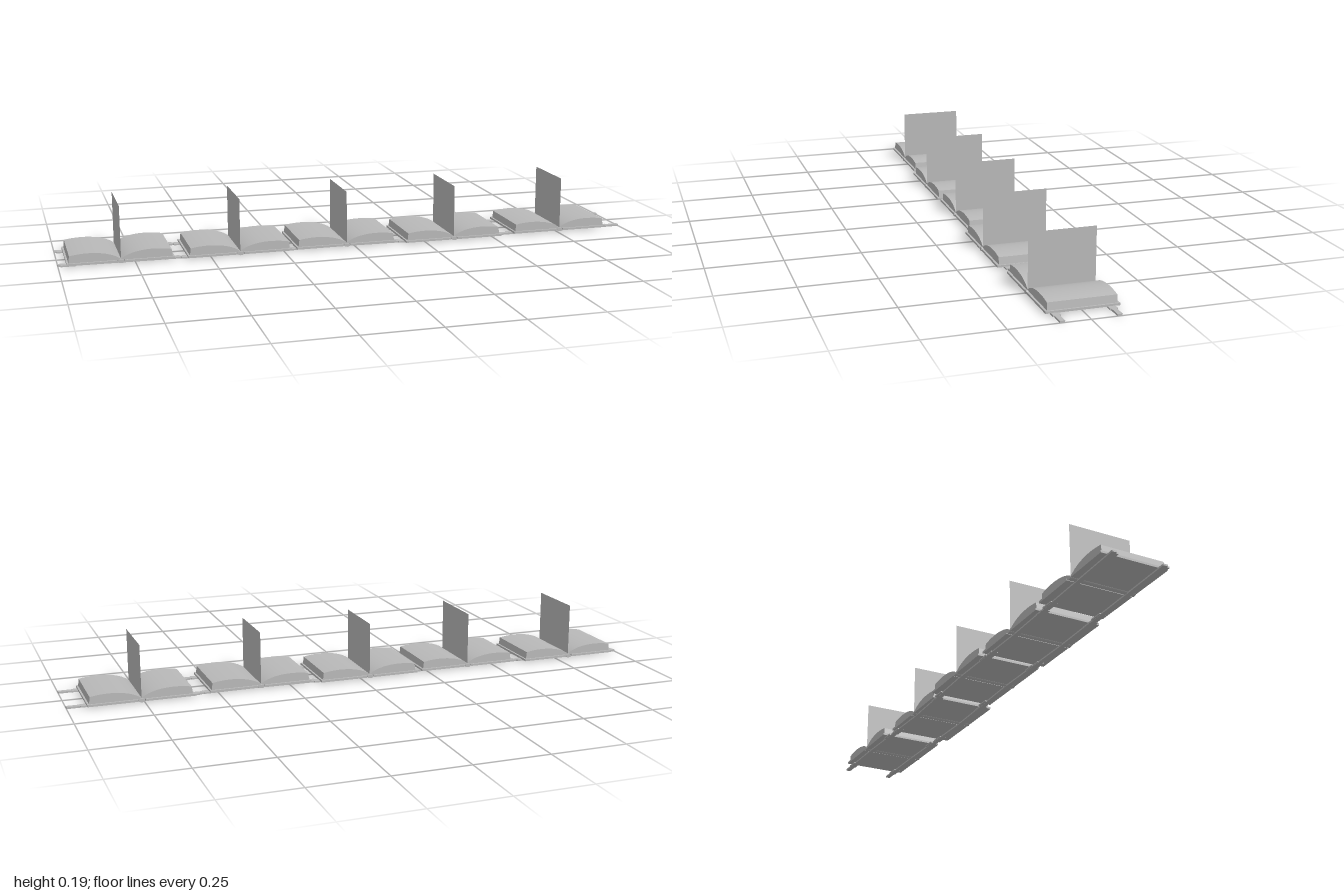
import * as THREE from 'three';
import { toCreasedNormals } from 'three/addons/utils/BufferGeometryUtils.js';

const grey = new THREE.MeshStandardMaterial({ color: 0xb8b8b8, side: THREE.DoubleSide });
grey.name = 'grey';

// Book centres along the row: x, z
const BOOKS = [[-0.797, -0.013], [-0.402, 0], [-0.03, -0.006], [0.353, 0.013], [0.76, 0]];

function add(parent, name, geometry, x = 0, y = 0, z = 0) {
  const mesh = new THREE.Mesh(geometry, grey);
  mesh.name = name;
  mesh.position.set(x, y, z);
  parent.add(mesh);
  return mesh;
}

// Half of the open page block: bulging top that dips into the gutter
function pageBlock(side) {
  const s = new THREE.Shape();
  s.moveTo(0, 0.011);
  s.lineTo(side * 0.17, 0.011);
  s.lineTo(side * 0.167, 0.036);
  s.bezierCurveTo(side * 0.12, 0.046, side * 0.04, 0.046, 0, 0.015);
  const g = new THREE.ExtrudeGeometry(s, { depth: 0.216, bevelEnabled: false, curveSegments: 12 });
  g.translate(0, 0, -0.108);
  return toCreasedNormals(g, 0.5);
}

function makeBook() {
  const book = new THREE.Group();
  for (const side of [-1, 1]) {
    add(book, 'cover', new THREE.BoxGeometry(0.164, 0.007, 0.23), side * 0.094, 0.0085, 0);
    add(book, 'pageBlock', pageBlock(side));
  }
  // Rounded spine strip between the covers
  const spine = new THREE.CylinderGeometry(0.011, 0.011, 0.23, 12);
  spine.rotateX(Math.PI / 2);
  spine.scale(1, 0.55, 1);
  add(book, 'spine', spine, 0, 0.008, 0);
  // Single leaf standing upright in the gutter
  const leaf = new THREE.PlaneGeometry(0.216, 0.179);
  leaf.rotateY(Math.PI / 2);
  add(book, 'standingPage', leaf, 0, 0.1035, 0);
  return book;
}

export function createModel() {
  const model = new THREE.Group();
  model.name = 'bookRow';
  BOOKS.forEach(([x, z], i) => {
    const book = makeBook();
    book.name = 'book' + (i + 1);
    book.position.set(x, 0, z);
    model.add(book);
    // Wider strap tabs at the edges of each cover
    for (const side of [-1, 1]) {
      for (const row of [-1, 1]) {
        add(model, 'strapTab', new THREE.BoxGeometry(0.05, 0.005, 0.024),
          x + side * 0.17, 0.0035, row * 0.087 + z * 0.4);
      }
    }
  });

  // Two long straps running under all the books
  const bends = [[-1, -0.012], ...BOOKS.map(([x, z]) => [x, z * 0.6]), [1, 0]];
  for (const row of [-1, 1]) {
    const s = new THREE.Shape();
    const w = 0.008;
    bends.forEach(([x, z], i) => s[i ? 'lineTo' : 'moveTo'](x, -(z + row * 0.087) - w));
    [...bends].reverse().forEach(([x, z]) => s.lineTo(x, -(z + row * 0.087) + w));
    const g = new THREE.ExtrudeGeometry(s, { depth: 0.006, bevelEnabled: false });
    g.rotateX(-Math.PI / 2);
    add(model, 'strap', g);
  }
  return model;
}
